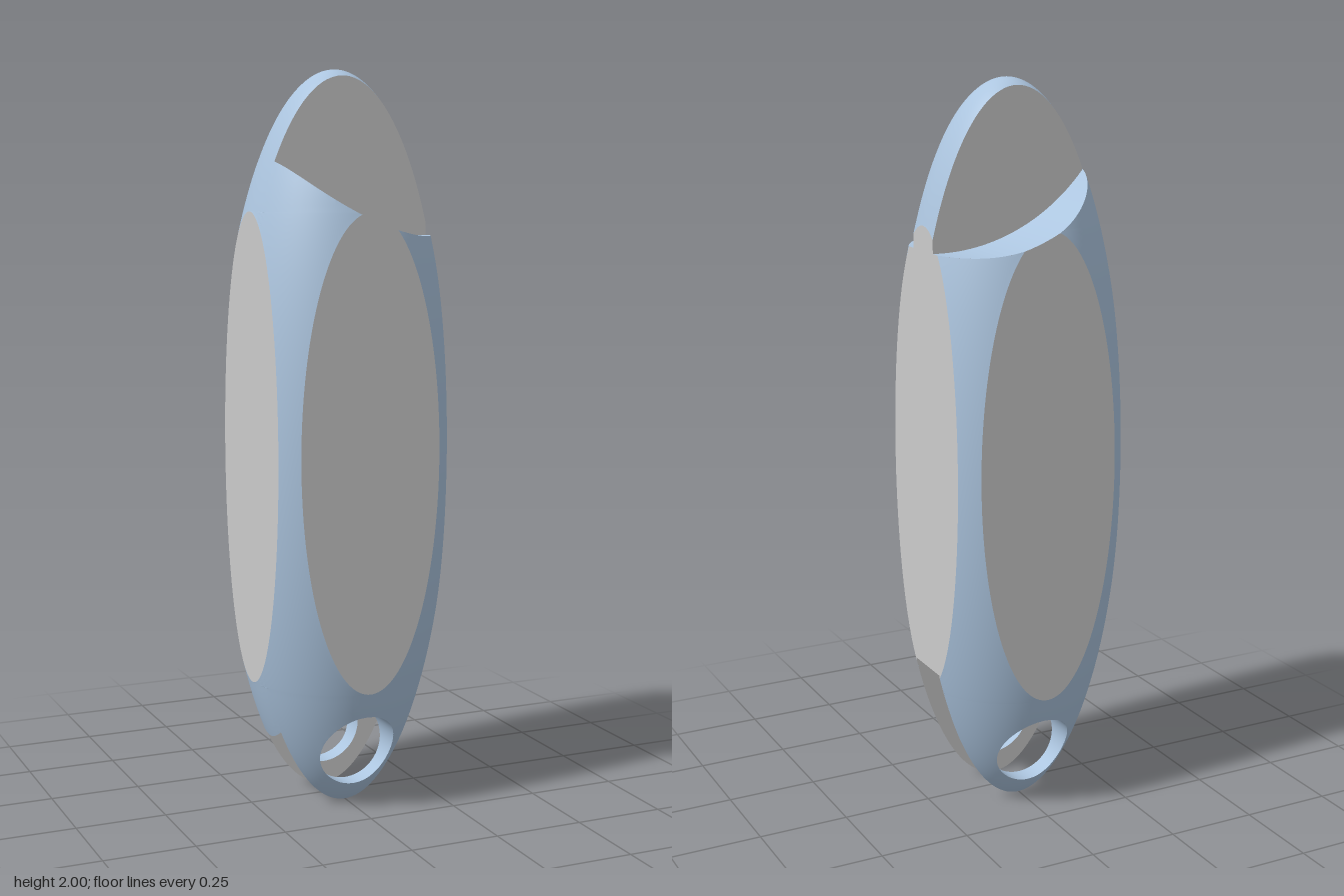
import * as THREE from 'three';
import { mergeVertices } from 'three/addons/utils/BufferGeometryUtils.js';

// Main dimensions: a tall ellipsoid with four flats
const R = 0.316, A = 1.014, CY = 0.986;      // radius, half height, centre height
const W = 0.245;                             // distance of the flats from the axis
const TONGUE = 0.06, SLOT = 0.075;           // half thicknesses
const CUT = { x: 0.22, y: 2.1, r: 0.54 };    // shoulder scoop beside the tongue
const ROOF = { x: 0.03, y: 0.175, r: 0.225 };// rounded end of the slot
const HOLE = { x: 0, y: 0.17, r: 0.107 };    // pin hole

// Rules that are positive where material (or the region) is kept
const dist = (p, c) => Math.hypot(p.x - c.x, p.y - c.y) - c.r;
const inBody = p => 1 - ((p.y - CY) / A) ** 2 - (p.x * p.x + p.z * p.z) / (R * R);
const outCut = p => dist(p, CUT);
const inCut = p => -dist(p, CUT);
const outHole = p => dist(p, HOLE);
const outSlot = p => Math.hypot(Math.min(p.x - ROOF.x, 0), Math.max(p.y - ROOF.y, 0)) - ROOF.r;
const inSlot = p => -outSlot(p);
const nearer = d => p => d - p.z;
const farther = d => p => p.z - d;

// Triangles of a parametric patch, normal = du x dv
function patch(f, nu, nv) {
  const tris = [];
  for (let i = 0; i < nu; i++) {
    for (let j = 0; j < nv; j++) {
      const a = f(i / nu, j / nv), b = f((i + 1) / nu, j / nv);
      const c = f((i + 1) / nu, (j + 1) / nv), d = f(i / nu, (j + 1) / nv);
      tris.push([a, b, c], [a, c, d]);
    }
  }
  return tris;
}

// Trim triangles to where every rule is positive
function clip(tris, ...rules) {
  for (const rule of rules) {
    const out = [];
    for (const t of tris) {
      const poly = [];
      for (let i = 0; i < 3; i++) {
        const p = t[i], q = t[(i + 1) % 3], fp = rule(p), fq = rule(q);
        if (fp >= 0) poly.push(p);
        if ((fp > 0 && fq < 0) || (fp < 0 && fq > 0)) poly.push(p.clone().lerp(q, fp / (fp - fq)));
      }
      for (let i = 2; i < poly.length; i++) out.push([poly[0], poly[i - 1], poly[i]]);
    }
    tris = out;
  }
  return tris;
}

// Cut the shoulders, slot and pin hole out of the outer skin
function carve(tris) {
  const t = [...clip(tris, nearer(TONGUE)), ...clip(tris, farther(TONGUE), outCut)];
  return [...clip(t, nearer(SLOT), outSlot), ...clip(t, farther(SLOT), outHole)];
}

// One sector of the clamped ellipsoid: sectors 0, 2, 4 are flats, 1 and 3 are rounded
function skin(sector) {
  const phi0 = Math.acos(W / R), H = Math.PI / 2;
  return patch((u, v) => {
    const s = u * 2 - 1, m = Math.abs(s);
    const phi = m <= 0.5 ? phi0 * Math.sin(m * Math.PI) : phi0 + (H - phi0) * (2 * m - 1);
    const r = R * Math.cos(phi);
    const b = r > W + 1e-9 ? Math.acos(W / r) : 0;
    const stops = [0, b, H - b, H + b, Math.PI - b, Math.PI];
    const th = THREE.MathUtils.lerp(stops[sector], stops[sector + 1], v);
    return new THREE.Vector3(
      THREE.MathUtils.clamp(r * Math.cos(th), -W, W),
      CY + A * Math.sin(phi) * Math.sign(s),
      Math.min(r * Math.sin(th), W));
  }, 160, 16);
}

// Mirror the front half to the back and make a smooth mesh
function makeMesh(name, half, material) {
  const flip = p => new THREE.Vector3(p.x, p.y, -p.z);
  const all = [...half, ...half.map(([a, b, c]) => [flip(a), flip(c), flip(b)])];
  const pos = [], ab = new THREE.Vector3(), ac = new THREE.Vector3();
  for (const [a, b, c] of all) {
    ab.subVectors(b, a);
    ac.subVectors(c, a);
    if (ab.cross(ac).length() < 1e-10) continue;
    for (const p of [a, b, c]) pos.push(p.x, p.y, p.z);
  }
  let geo = new THREE.BufferGeometry();
  geo.setAttribute('position', new THREE.Float32BufferAttribute(pos, 3));
  geo = mergeVertices(geo, 1e-6);
  geo.computeVertexNormals();
  const mesh = new THREE.Mesh(geo, material);
  mesh.name = name;
  return mesh;
}

export function createModel() {
  const group = new THREE.Group();
  group.name = 'hingedLink';
  const grey = new THREE.MeshStandardMaterial({ color: 0xcccccc });
  const blue = new THREE.MeshStandardMaterial({ color: 0xacc5df });
  const V = (x, y, z) => new THREE.Vector3(x, y, z);
  const lerp = THREE.MathUtils.lerp;
  const add = (name, tris, mat) => group.add(makeMesh(name, tris, mat));

  // Outer skin
  add('roundedBody', carve([...skin(1), ...skin(3)]), blue);
  add('leftFlat', carve(skin(0)), grey);
  add('frontAndBackFlats', carve(skin(2)), grey);
  add('rightFlat', carve(skin(4)), grey);

  // Tongue sides at the top
  add('tongueSides', clip(
    patch((u, v) => V(lerp(-W, W, u), lerp(1.5, 2.02, v), TONGUE), 40, 40), inBody, inCut), grey);

  // Scooped shoulders beside the tongue
  add('shoulders', clip(patch((u, v) => {
    const x = lerp(-0.23, W, v);
    return V(x, CUT.y - Math.sqrt(CUT.r ** 2 - (x - CUT.x) ** 2), lerp(TONGUE, W, u));
  }, 30, 40), inBody), blue);

  // Inner faces of the two cheeks
  add('cheekInnerSides', clip(
    patch((u, v) => V(lerp(-W, W, v), lerp(0, 0.42, u), SLOT), 50, 50),
    inBody, inSlot, outHole), grey);

  // Slot end: a quarter round running into a flat roof
  const roundEnd = patch((u, v) => {
    const a = Math.PI * (1 - u / 2);
    return V(ROOF.x + ROOF.r * Math.cos(a), ROOF.y + ROOF.r * Math.sin(a), lerp(0, SLOT, v));
  }, 32, 8);
  const flatRoof = patch((u, v) => V(lerp(ROOF.x, W, u), ROOF.y + ROOF.r, lerp(0, SLOT, v)), 12, 8);
  add('slotEnd', clip(roundEnd, inBody), blue);
  add('slotRoof', clip(flatRoof, inBody), grey);

  // Pin hole through both cheeks
  add('pinHole', clip(patch((u, v) => {
    const a = v * Math.PI * 2;
    return V(HOLE.x + HOLE.r * Math.cos(a), HOLE.y + HOLE.r * Math.sin(a), lerp(SLOT, W, u));
  }, 20, 64), inBody), blue);

  return group;
}
